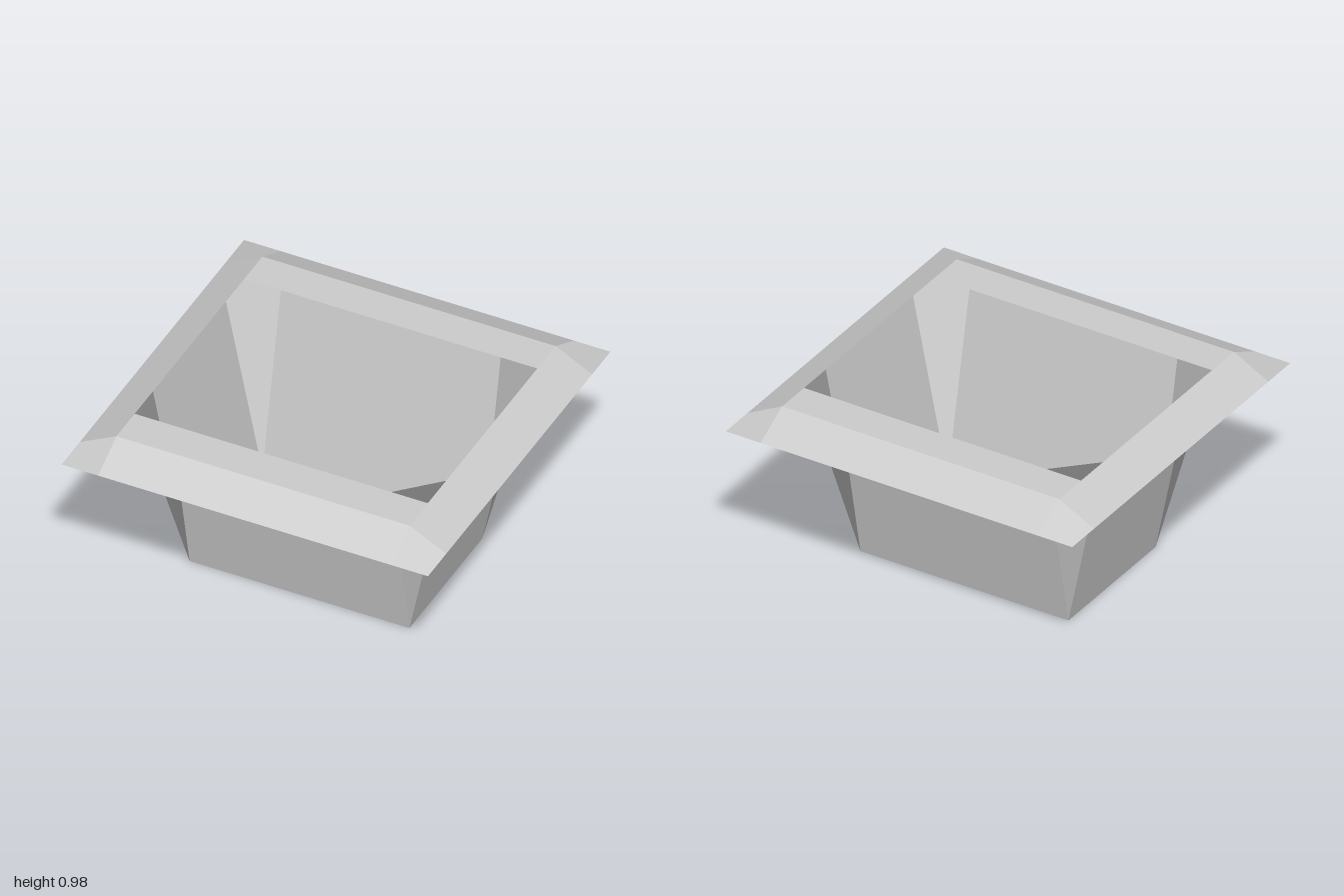
import * as THREE from 'three';

// Flat quad a-b-c-d, split along a-c, with one shared normal
function addQuad(out, a, b, c, d) {
  const v = [a, b, c, d].map(p => new THREE.Vector3(...p));
  const n = v[2].clone().sub(v[0]).cross(v[3].clone().sub(v[1])).normalize();
  for (const i of [0, 1, 2, 0, 2, 3]) {
    out.pos.push(...v[i].toArray());
    out.nor.push(n.x, n.y, n.z);
  }
}

function makeMesh(name, quads) {
  const out = { pos: [], nor: [] };
  quads.forEach(q => addQuad(out, ...q));
  const geo = new THREE.BufferGeometry();
  geo.setAttribute('position', new THREE.Float32BufferAttribute(out.pos, 3));
  geo.setAttribute('normal', new THREE.Float32BufferAttribute(out.nor, 3));
  const mesh = new THREE.Mesh(geo,
    new THREE.MeshStandardMaterial({ color: 0xcccccc, side: THREE.DoubleSide }));
  mesh.name = name;
  return mesh;
}

// Four sloping sides and four corner facets between two rectangles,
// half of them built and the rest turned by 180 degrees
function slopedSides([ix, iy, iz], [ox, oy, oz], flip) {
  const quads = [];
  for (const s of [1, -1]) {
    const half = [
      [[-ix, iy, iz], [ix, iy, iz], [ix, oy, oz], [-ix, oy, oz]],
      [[ix, iy, iz], [ix, iy, -iz], [ox, oy, -iz], [ox, oy, iz]],
      [[ix, oy, oz], [ix, iy, iz], [ox, oy, iz], [ox, oy, oz]],
      [[ix, iy, -iz], [ix, oy, -oz], [ox, oy, -oz], [ox, oy, -iz]],
    ];
    for (const q of half) {
      const [a, b, c, d] = q.map(([x, y, z]) => [s * x, y, s * z]);
      quads.push(flip ? [a, d, c, b] : [a, b, c, d]);
    }
  }
  return quads;
}

export function createModel() {
  const group = new THREE.Group();
  const top = 0.98;

  // Tapered basin
  group.add(makeMesh('basinWalls', slopedSides([0.6, 0, 0.4], [0.8, top, 0.6], false)));
  group.add(makeMesh('basinFloor', [
    [[-0.6, 0, -0.4], [0.6, 0, -0.4], [0.6, 0, 0.4], [-0.6, 0, 0.4]],
  ]));

  // Flat rim strips in front of and behind the opening
  group.add(makeMesh('rimTop', [[0.6, 0.8], [-0.8, -0.6]].map(([z0, z1]) =>
    [[-0.8, top, z1], [0.8, top, z1], [0.8, top, z0], [-0.8, top, z0]])));

  // Sloping outer edge of the rim
  group.add(makeMesh('rimBevel', slopedSides([0.8, top, 0.8], [1, 0.875, 1], true)));

  return group;
}
